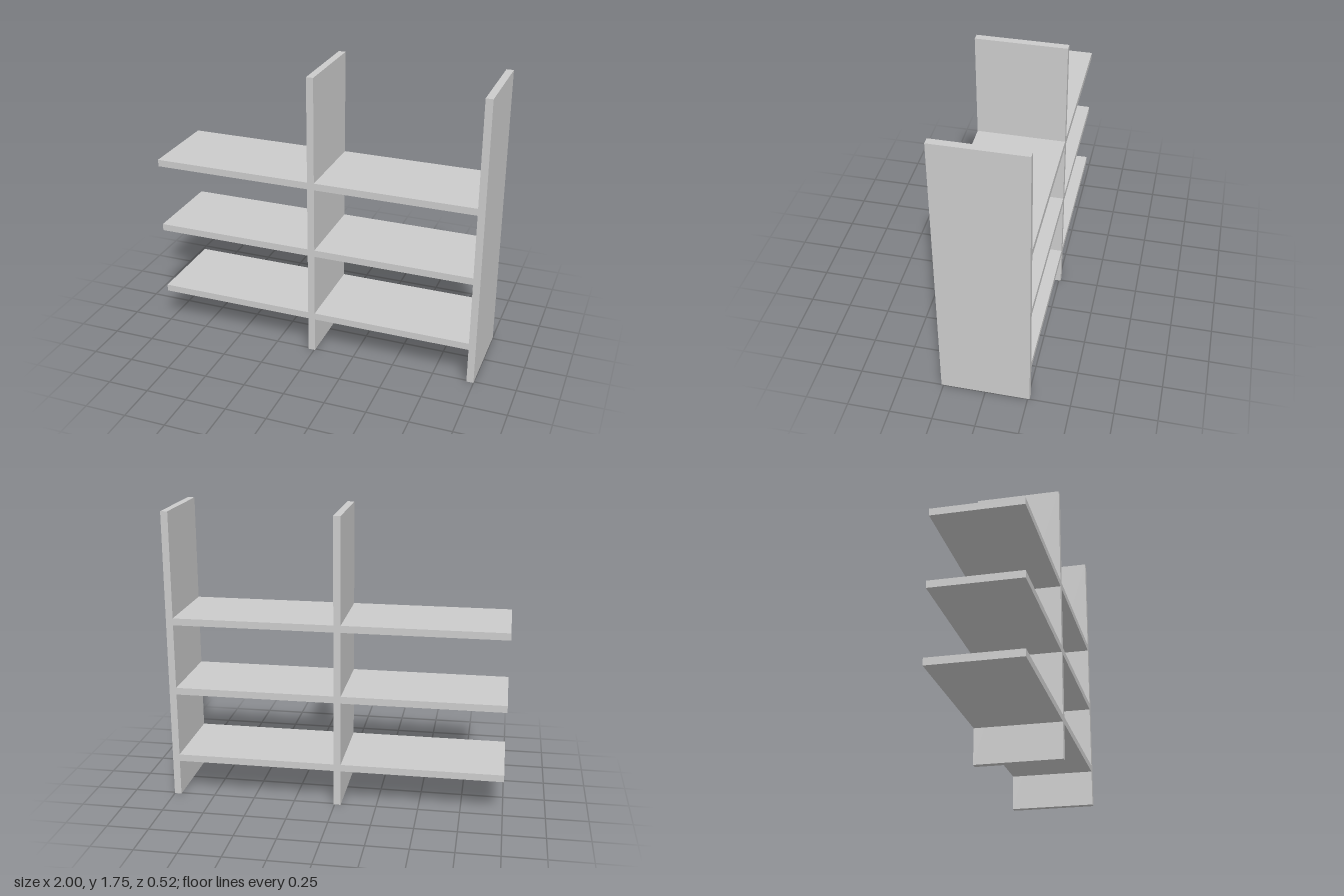
import * as THREE from 'three';

const DEPTH = 0.524, HEIGHT = 1.75, BOARD = 0.042;

export function createModel() {
  const group = new THREE.Group();
  const material = new THREE.MeshStandardMaterial({ color: 0xcccccc, flatShading: true });

  // Full-depth board spanning x0..x1 and y0..y1
  function board(name, x0, x1, y0, y1) {
    const mesh = new THREE.Mesh(new THREE.BoxGeometry(x1 - x0, y1 - y0, DEPTH), material);
    mesh.position.set((x0 + x1) / 2, (y0 + y1) / 2, 0);
    mesh.name = name;
    group.add(mesh);
  }

  // Uprights: one in the middle, one closing the left end
  const middle = -0.037, end = 1 - BOARD;
  board('middleUpright', middle, middle + BOARD, 0, HEIGHT);
  board('leftUpright', end, 1, 0, HEIGHT);

  // Three shelf levels, each butted against the uprights
  [0.24, 0.67, 1.1].forEach((y, i) => {
    const y0 = y - BOARD / 2, y1 = y + BOARD / 2;
    board(`rightShelf${i + 1}`, -1, middle, y0, y1);
    board(`leftShelf${i + 1}`, middle + BOARD, end, y0, y1);
  });

  return group;
}
